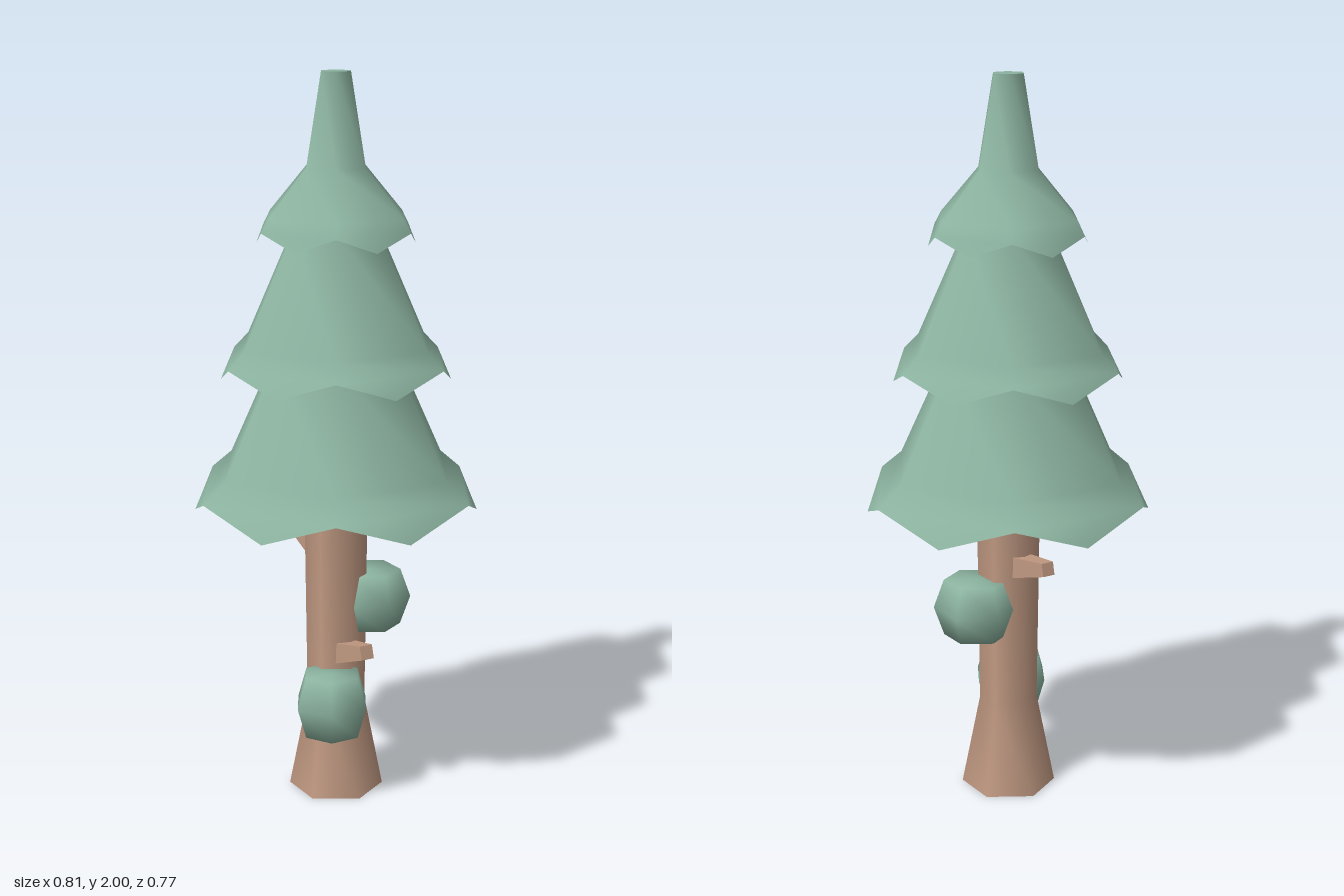
import * as THREE from 'three';

const SIDES = 6;

function mesh(name, geometry, material) {
  const m = new THREE.Mesh(geometry, material);
  m.name = name;
  return m;
}

// Hexagonal skirt through [radius, y] rings, with a hanging point on each side of the last ring
function skirt(rings, pointRadius, pointY) {
  const positions = [], index = [];
  const add = (r, y, turn) => {
    const a = (turn / SIDES) * Math.PI * 2;
    positions.push(r * Math.cos(a), y, r * Math.sin(a));
  };
  rings.forEach(([r, y]) => {
    for (let k = 0; k < SIDES; k++) add(r, y, k);
  });
  for (let k = 0; k < SIDES; k++) add(pointRadius, pointY, k + 0.5);
  for (let i = 0; i < rings.length; i++) {
    for (let k = 0; k < SIDES; k++) {
      const a = i * SIDES + k, b = i * SIDES + ((k + 1) % SIDES);
      if (i < rings.length - 1) index.push(a, b, a + SIDES, b, b + SIDES, a + SIDES);
      else index.push(a, b, a + SIDES);
    }
  }
  const g = new THREE.BufferGeometry();
  g.setAttribute('position', new THREE.Float32BufferAttribute(positions, 3));
  g.setIndex(index);
  g.computeVertexNormals();
  return g;
}

function lathe(profile) {
  return new THREE.LatheGeometry(profile.map(([r, y]) => new THREE.Vector2(r, y)), SIDES);
}

// Tapered square stub running between two points
function stub(from, to, rootWidth, tipWidth) {
  const start = new THREE.Vector3(...from), dir = new THREE.Vector3(...to).sub(start);
  const g = new THREE.CylinderGeometry(tipWidth * Math.SQRT1_2, rootWidth * Math.SQRT1_2, dir.length(), 4);
  g.rotateY(Math.PI / 4);
  g.translate(0, dir.length() / 2, 0);
  g.applyQuaternion(new THREE.Quaternion().setFromUnitVectors(new THREE.Vector3(0, 1, 0), dir.normalize()));
  g.translate(...from);
  const flat = g.toNonIndexed();
  flat.computeVertexNormals();
  return flat;
}

export function createModel() {
  const tree = new THREE.Group();
  tree.name = 'pineTree';
  const foliage = new THREE.MeshStandardMaterial({ color: 0x8cb3a0, side: THREE.DoubleSide });
  foliage.name = 'foliageGreen';
  const bark = new THREE.MeshStandardMaterial({ color: 0xbf9881, side: THREE.DoubleSide });
  bark.name = 'barkBrown';

  // Trunk, flared at the foot and open underneath
  tree.add(mesh('trunk', lathe([[0.131, 0], [0.08, 0.26], [0.087, 0.83]]), bark));

  // Branch stubs, front and back
  tree.add(mesh('frontBranch', stub([-0.007, 0.41, 0.04], [-0.007, 0.452, 0.18], 0.06, 0.038), bark));
  tree.add(mesh('backBranch', stub([0, 0.662, -0.04], [0, 0.698, -0.2], 0.062, 0.036), bark));

  // Foliage tiers
  tree.add(mesh('lowerTier', skirt([[0.19, 1.24], [0.34, 0.935], [0.405, 0.88]], 0.387, 0.812), foliage));
  tree.add(mesh('middleTier', skirt([[0.13, 1.59], [0.28, 1.28], [0.326, 1.235]], 0.311, 1.18), foliage));
  tree.add(mesh('upperTier',
    skirt([[0.045, 2], [0.09, 1.752], [0.205, 1.625], [0.225, 1.59]], 0.213, 1.548), foliage));
  const cap = new THREE.CircleGeometry(0.045, SIDES).rotateX(-Math.PI / 2).translate(0, 2, 0);
  tree.add(mesh('treeTopCap', cap, foliage));

  // Leaf clumps on the trunk
  const clumps = [
    ['upperClump', 0.118, 0.08, [0.1, 0.545, 0.008], 0],
    ['lowerClump', 0.108, 0.087, [-0.061, 0.283, 0.083], Math.PI / 6],
  ];
  for (const [name, r, h, position, turn] of clumps) {
    const clump = mesh(name, lathe([[0, -h], [r * 0.76, -h], [r, 0], [r * 0.76, h], [0, h]]), foliage);
    clump.position.set(...position);
    clump.rotation.y = turn;
    tree.add(clump);
  }
  return tree;
}
